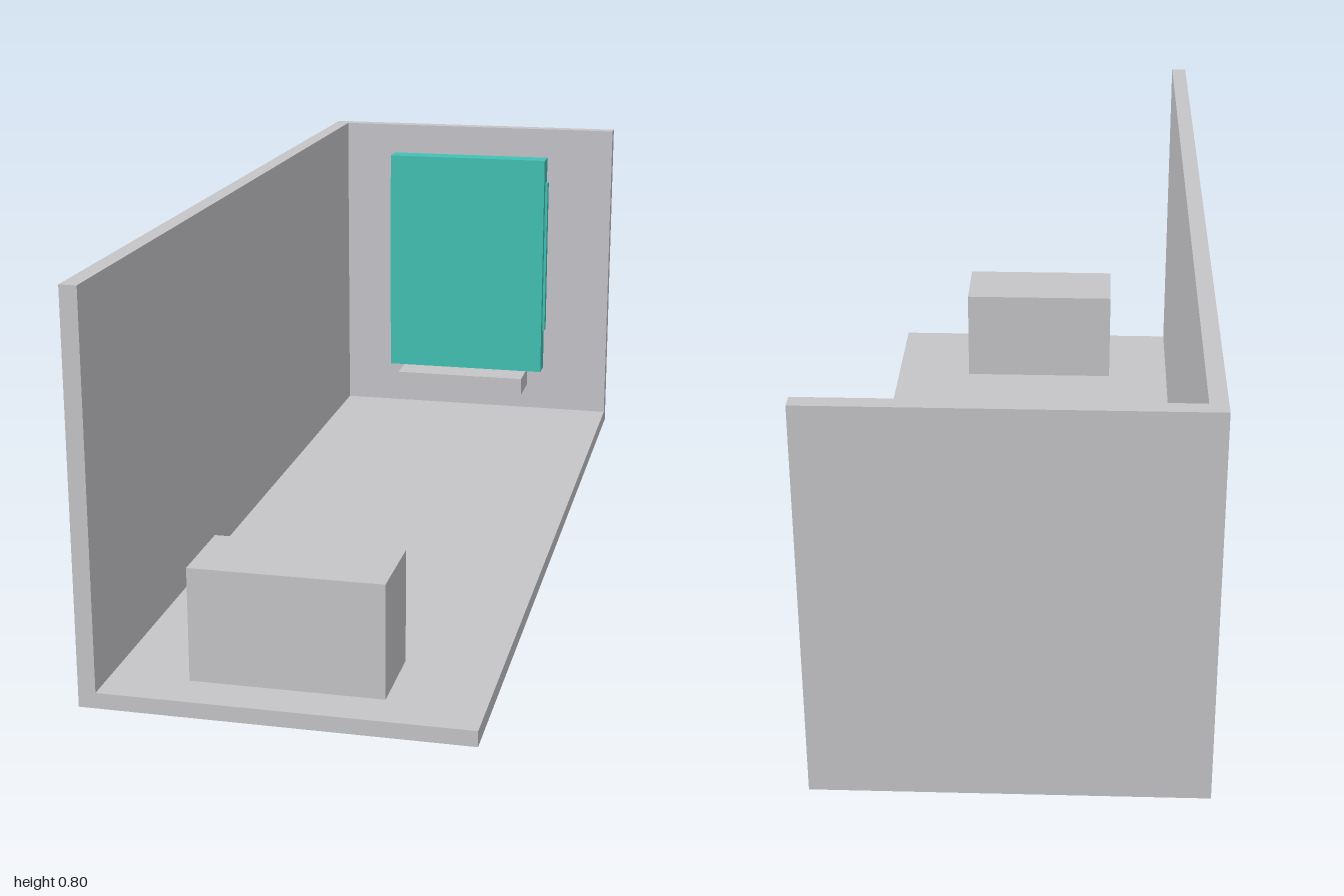
import * as THREE from 'three';

const grey = new THREE.MeshStandardMaterial({ color: 0xc5c5c9 });
grey.name = 'light grey';
const teal = new THREE.MeshStandardMaterial({ color: 0x41c1b4 });
teal.name = 'teal';

// Box given by its extents along each axis
function block(name, material, [x0, x1], [y0, y1], [z0, z1]) {
  const mesh = new THREE.Mesh(new THREE.BoxGeometry(x1 - x0, y1 - y0, z1 - z0), material);
  mesh.position.set((x0 + x1) / 2, (y0 + y1) / 2, (z0 + z1) / 2);
  mesh.name = name;
  return mesh;
}

export function createModel() {
  const model = new THREE.Group();
  model.name = 'room';

  // Room shell: floor, long side wall and end wall
  model.add(
    block('floor', grey, [-0.34, 0.374], [0, 0.031], [-0.967, 1]),
    block('sideWall', grey, [-0.374, -0.34], [0, 0.8], [-1, 1]),
    block('backWall', grey, [-0.34, 0.374], [0, 0.8], [-1, -0.967]),
  );

  // Furniture: bench near the open end, shelf under the panel
  model.add(
    block('bench', grey, [-0.188, 0.187], [0.031, 0.256], [0.738, 0.912]),
    block('shelf', grey, [-0.17, 0.165], [0.105, 0.15], [-0.936, -0.828]),
  );

  // Upright panel with thin side rails and a raised back plate
  const panel = new THREE.Group();
  panel.name = 'panel';
  panel.add(
    block('panelBody', teal, [-0.207, 0.206], [0.152, 0.727], [-0.952, -0.9]),
    block('panelBackPlate', teal, [-0.17, 0.17], [0.28, 0.64], [-0.958, -0.952]),
    block('rightRail', teal, [-0.213, -0.207], [0.263, 0.663], [-0.944, -0.922]),
    block('leftRail', teal, [0.206, 0.212], [0.263, 0.663], [-0.944, -0.922]),
  );
  model.add(panel);

  return model;
}
